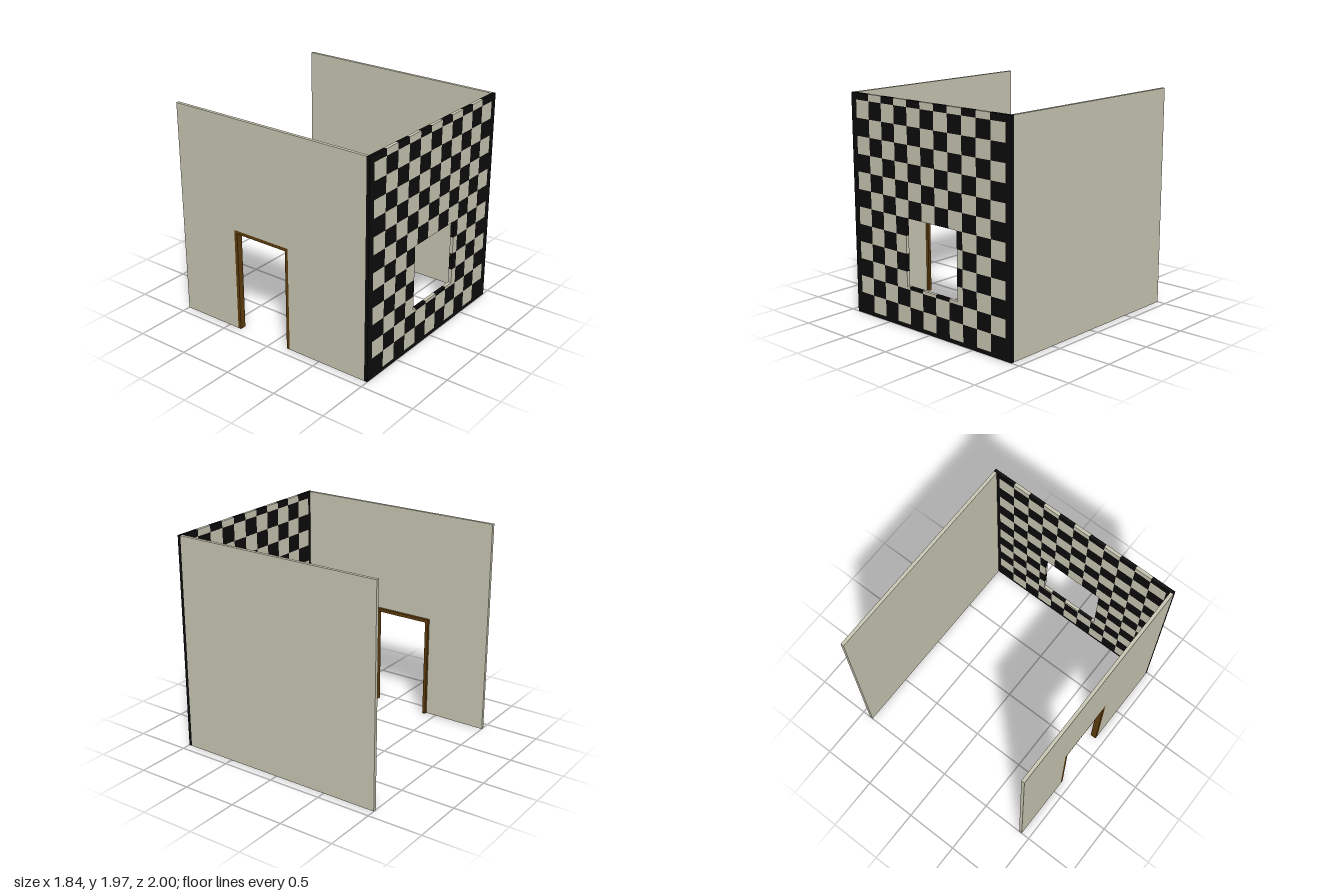
import * as THREE from 'three';
import { mergeGeometries } from 'three/addons/utils/BufferGeometryUtils.js';

const HALF_W = 0.92, HEIGHT = 1.97, THICK = 0.03, FRONT = 0.97;
const DOOR = { back: -0.4, front: 0.185, top: 0.96, trim: 0.03 };
const WINDOW = { x0: -0.268, x1: 0.328, y0: 0.375, y1: 0.973 };
const CELL = 0.1562, COL0 = -5.5 * CELL, ROW0 = 0.036;

// Extrudes an outline given as [z, y] points, from xMax toward -x
function extrudeSide(points, xMax, depth) {
  const shape = new THREE.Shape(points.map(([z, y]) => new THREE.Vector2(z, y)));
  const geo = new THREE.ExtrudeGeometry(shape, { depth, bevelEnabled: false });
  return geo.rotateY(-Math.PI / 2).translate(xMax, 0, 0);
}

// Tile edges from lo to hi, with extra cuts at the window
function edges(lo, hi, start, cuts) {
  const list = [lo, hi, ...cuts];
  for (let v = start; v < hi - 0.01; v += CELL) list.push(v);
  list.sort((a, b) => a - b);
  return list.filter((v, i) => i === 0 || v - list[i - 1] > 0.004);
}

export function createModel() {
  const cream = new THREE.MeshStandardMaterial({ color: 0xc9c7b3 });
  cream.name = 'cream';
  const black = new THREE.MeshStandardMaterial({ color: 0x0c0c0c });
  black.name = 'black';
  const brown = new THREE.MeshStandardMaterial({ color: 0x5f3c0e });
  brown.name = 'brown';

  const model = new THREE.Group();
  model.name = 'room';
  const add = (name, geo, mat) => {
    const mesh = new THREE.Mesh(geo, mat);
    mesh.name = name;
    model.add(mesh);
    return mesh;
  };

  // Chequered front wall with a square window opening
  const xs = edges(-HALF_W, HALF_W, COL0, [WINDOW.x0, WINDOW.x1]);
  const ys = edges(0, HEIGHT, ROW0, [WINDOW.y0, WINDOW.y1]);
  const tiles = { cream: [], black: [] };
  for (let i = 0; i < xs.length - 1; i++) {
    for (let j = 0; j < ys.length - 1; j++) {
      const cx = (xs[i] + xs[i + 1]) / 2, cy = (ys[j] + ys[j + 1]) / 2;
      if (cx > WINDOW.x0 && cx < WINDOW.x1 && cy > WINDOW.y0 && cy < WINDOW.y1) continue;
      const col = Math.floor((cx - COL0) / CELL), row = Math.floor((cy - ROW0) / CELL);
      const light = col >= 0 && col < 11 && row >= 0 && (col + row) % 2 === 1;
      const box = new THREE.BoxGeometry(xs[i + 1] - xs[i], ys[j + 1] - ys[j], THICK);
      tiles[light ? 'cream' : 'black'].push(box.translate(cx, cy, FRONT + THICK / 2));
    }
  }
  add('frontWallLightTiles', mergeGeometries(tiles.cream), cream);
  add('frontWallDarkTiles', mergeGeometries(tiles.black), black);

  // Plain side wall
  add('leftWall', new THREE.BoxGeometry(THICK, HEIGHT, FRONT + 1), cream)
    .position.set(HALF_W - THICK / 2, HEIGHT / 2, (FRONT - 1) / 2);

  // Side wall with a doorway
  const { back, front, top, trim } = DOOR;
  add('rightWall', extrudeSide([
    [-1, 0], [back, 0], [back, top], [front, top],
    [front, 0], [FRONT, 0], [FRONT, HEIGHT], [-1, HEIGHT],
  ], -HALF_W + THICK, THICK), cream);

  // Door frame lining the opening and standing proud on the inside
  add('doorFrame', extrudeSide([
    [back, 0], [back + trim, 0], [back + trim, top - trim], [front - trim, top - trim],
    [front - trim, 0], [front, 0], [front, top], [back, top],
  ], -0.863, 0.057), brown);

  return model;
}
